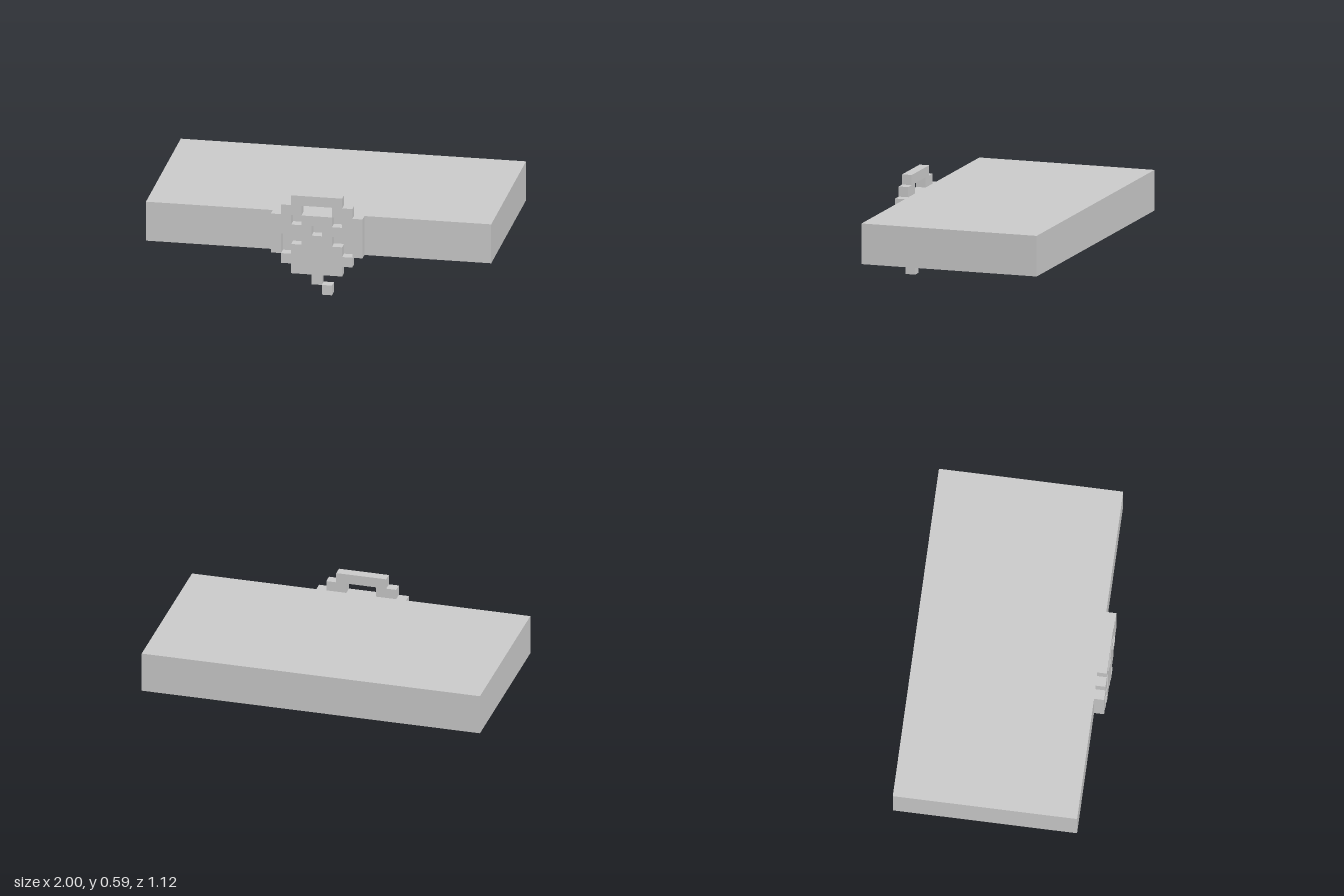
import * as THREE from 'three';
import { mergeGeometries } from 'three/addons/utils/BufferGeometryUtils.js';

const CELL = 0.059;
const FRONT = 0.558, SEAM = 0.5;

// Emblem pixels, top row first
const PIXELS = [
  '..#####..',
  '.##...##.',
  '##.###.##',
  '####.####',
  '#..###..#',
  '#.#####.#',
  '.#######.',
  '..#####..',
  '....#....',
  '.....#...',
];

// One wall of a cell, turned about an axis and pushed out along its normal
function wall(w, h, rotX, rotY, x, y, z) {
  return new THREE.PlaneGeometry(w, h).rotateX(rotX).rotateY(rotY).translate(x, y, z);
}

// Solid relief of the pixels, with walls only where a neighbour is empty
function pixelRelief(rows, depth) {
  const filled = (r, c) => rows[r]?.[c] === '#';
  const faces = [], q = Math.PI / 2, h = CELL / 2;
  rows.forEach((row, r) => {
    for (let c = 0; c < row.length; c++) {
      if (!filled(r, c)) continue;
      const x = (c - (row.length - 1) / 2) * CELL;
      const y = (rows.length - r - 0.5) * CELL;
      faces.push(wall(CELL, CELL, 0, 0, x, y, depth / 2));
      faces.push(wall(CELL, CELL, 0, Math.PI, x, y, -depth / 2));
      if (!filled(r, c + 1)) faces.push(wall(depth, CELL, 0, q, x + h, y, 0));
      if (!filled(r, c - 1)) faces.push(wall(depth, CELL, 0, -q, x - h, y, 0));
      if (!filled(r - 1, c)) faces.push(wall(CELL, depth, -q, 0, x, y + h, 0));
      if (!filled(r + 1, c)) faces.push(wall(CELL, depth, q, 0, x, y - h, 0));
    }
  });
  return mergeGeometries(faces);
}

export function createModel() {
  const model = new THREE.Group();
  const material = new THREE.MeshStandardMaterial({ color: 0xcccccc, flatShading: true });

  // Wide flat slab, as tall as the four widest emblem rows
  const slab = new THREE.Mesh(new THREE.BoxGeometry(2, 4 * CELL, SEAM + FRONT), material);
  slab.name = 'slab';
  slab.position.set(0, 6 * CELL, (SEAM - FRONT) / 2);
  model.add(slab);

  // Pixel emblem on the front face
  const emblem = new THREE.Mesh(pixelRelief(PIXELS, FRONT - SEAM), material);
  emblem.name = 'emblem';
  emblem.position.z = (FRONT + SEAM) / 2;
  model.add(emblem);

  return model;
}
